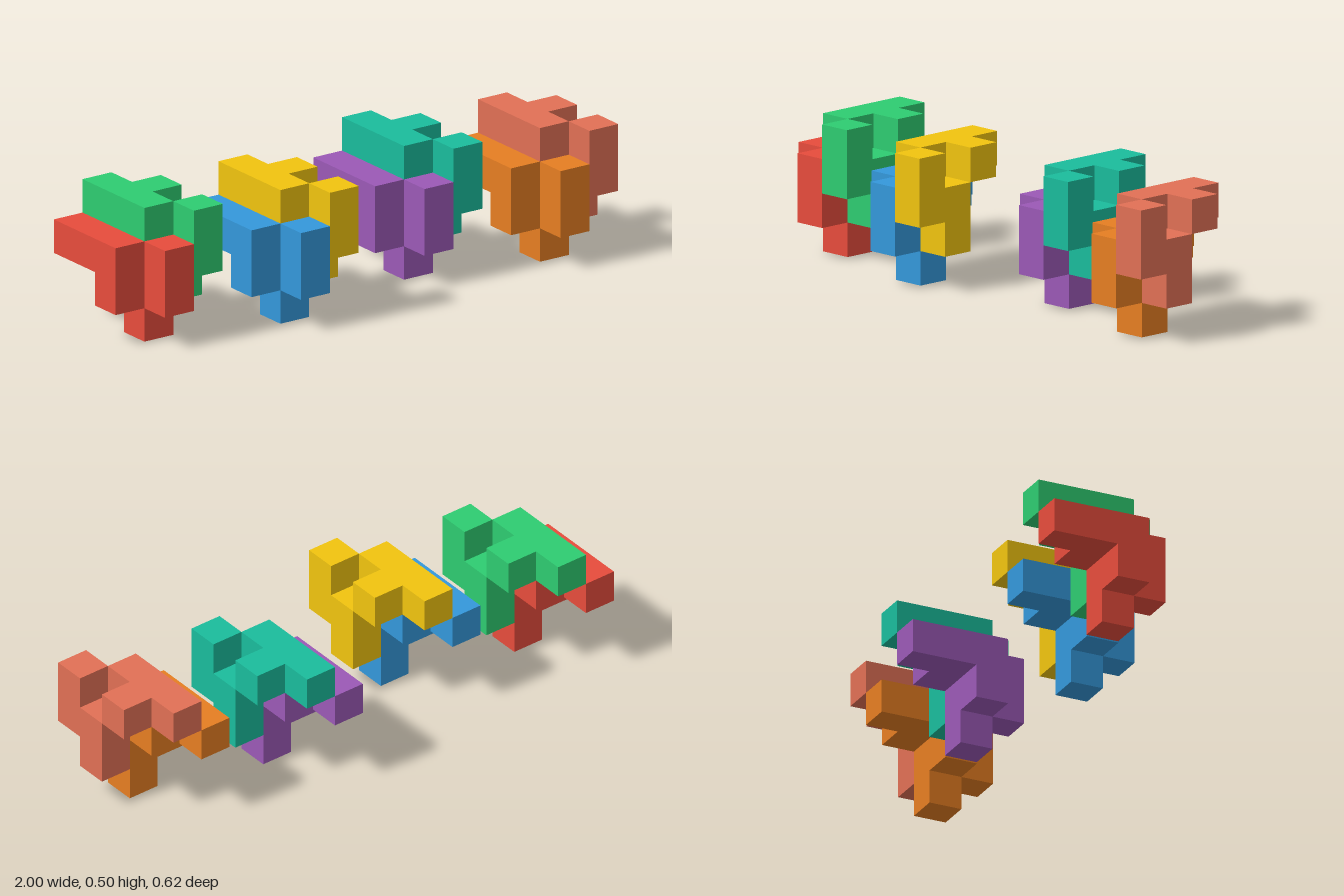
import * as THREE from 'three';
import { mergeGeometries } from 'three/addons/utils/BufferGeometryUtils.js';

const CELL = 0.125;

// Cells of one puzzle piece: [x, y, z], z counted backwards from the front
const CELLS = [
  [0, 2, -1], [0, 2, -2], [0, 2, -3], [0, 1, -1],  // long bar with its drop
  [1, 2, -2],                                      // side prong
  [1, 1, -1], [1, 0, -1],                          // foot
  [1, 1, 0], [1, 2, 0],                            // front hook
];

// Outward directions with the rotation that turns a +z plane towards them
const SIDES = [
  [[0, 0, 1], 0, 0], [[0, 0, -1], 0, Math.PI],
  [[1, 0, 0], 0, Math.PI / 2], [[-1, 0, 0], 0, -Math.PI / 2],
  [[0, 1, 0], -Math.PI / 2, 0], [[0, -1, 0], Math.PI / 2, 0],
];

// Closed shell: one square for every cell side without a neighbour
function pieceGeometry() {
  const filled = new Set(CELLS.map(String));
  const faces = [];
  for (const c of CELLS) {
    for (const [d, rx, ry] of SIDES) {
      if (filled.has(String(c.map((v, i) => v + d[i])))) continue;
      const p = c.map((v, i) => (v + 0.5 + d[i] / 2) * CELL);
      faces.push(new THREE.PlaneGeometry(CELL, CELL).rotateX(rx).rotateY(ry).translate(...p));
    }
  }
  return mergeGeometries(faces);
}

export function createModel() {
  const model = new THREE.Group();
  const geometry = pieceGeometry();

  // Each pair: left edge, front cell position, lower and upper colours
  const pairs = [
    [-1, 0.0625, 0xe74c3c, 0x2ecc71],
    [-0.5, 0.1875, 0x3498db, 0xf1c40f],
    [0.125, 0.0625, 0x9b59b6, 0x1abc9c],
    [0.625, 0.1875, 0xe67e22, 0xe17055],
  ];
  pairs.forEach(([x, z, ...colors], n) => {
    const pair = new THREE.Group();
    pair.name = `interlockedPair${n + 1}`;
    pair.position.set(x, 0, z);
    // The upper piece is the same shape, one cell across and one cell up
    colors.forEach((color, i) => {
      const piece = new THREE.Mesh(geometry, new THREE.MeshStandardMaterial({ color }));
      piece.name = i ? 'upperPiece' : 'lowerPiece';
      piece.position.set(i * CELL, i * CELL, 0);
      pair.add(piece);
    });
    model.add(pair);
  });
  return model;
}
